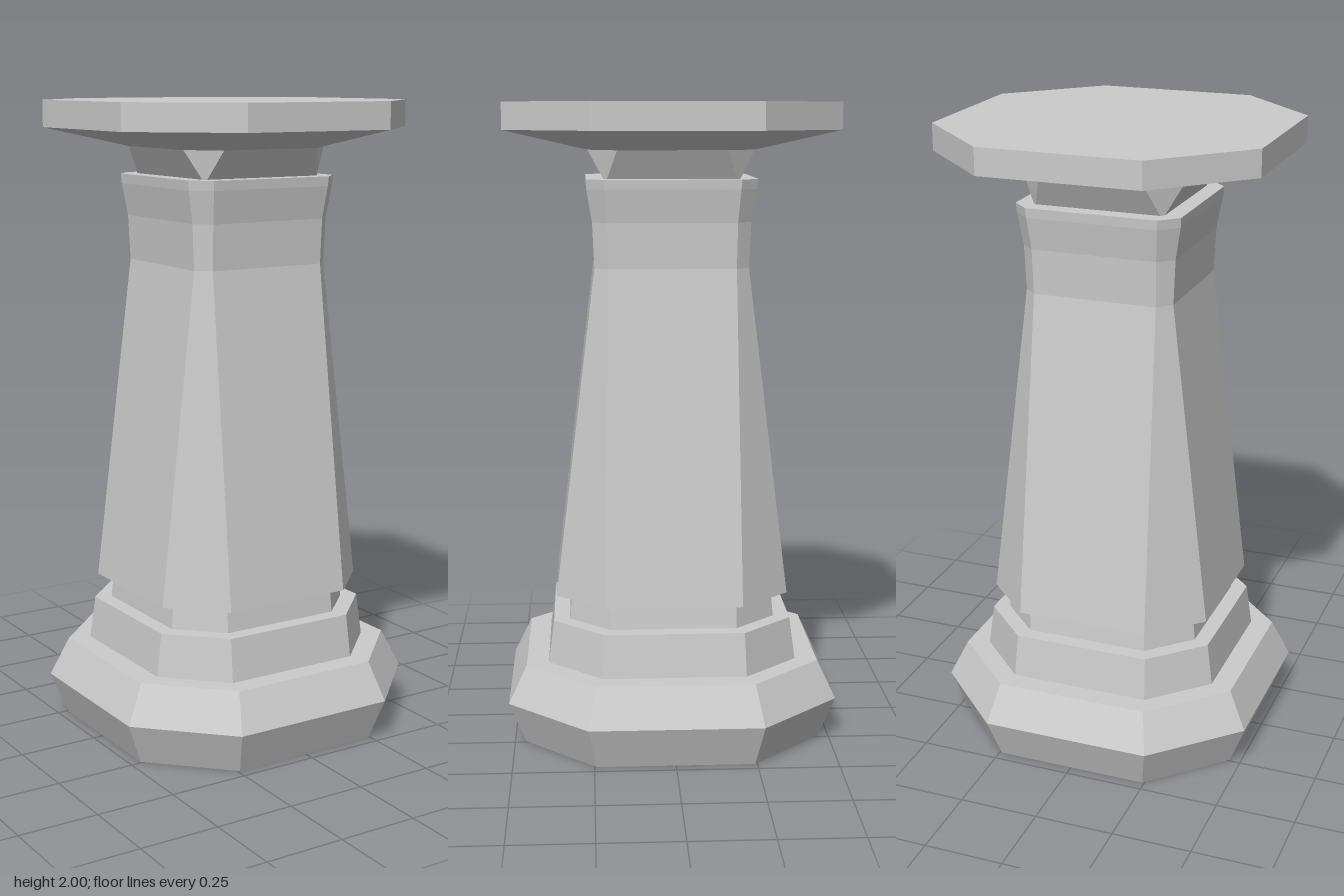
import * as THREE from 'three';

const material = new THREE.MeshStandardMaterial({ color: 0xcccccc, flatShading: true });

// Square with cut corners: a = half width, b = half length of the flat side
const octagon = (y, a, b) =>
  [[a, -b], [a, b], [b, a], [-b, a], [-a, b], [-a, -b], [-b, -a], [b, -a]]
    .map(([x, z]) => [x, y, z]);

// Closed solid lofted through octagonal sections [y, a, b], listed bottom to top
function loft(name, sections) {
  const rings = sections.map((s) => octagon(...s));
  const pos = [];
  const tri = (...points) => points.forEach((p) => pos.push(...p));
  const bottom = rings[0];
  const top = rings[rings.length - 1];
  const bottomCentre = [0, bottom[0][1], 0];
  const topCentre = [0, top[0][1], 0];
  for (let i = 0; i < 8; i++) {
    const j = (i + 1) % 8;
    for (let k = 0; k < rings.length - 1; k++) {
      const lo = rings[k];
      const hi = rings[k + 1];
      tri(lo[i], hi[i], hi[j]);
      tri(lo[i], hi[j], lo[j]);
    }
    tri(bottomCentre, bottom[i], bottom[j]);
    tri(topCentre, top[j], top[i]);
  }
  const geometry = new THREE.BufferGeometry();
  geometry.setAttribute('position', new THREE.Float32BufferAttribute(pos, 3));
  geometry.computeVertexNormals();
  const mesh = new THREE.Mesh(geometry, material);
  mesh.name = name;
  return mesh;
}

export function createModel() {
  const group = new THREE.Group();
  group.name = 'pedestal';
  group.add(
    // Wide foot, bulging at mid height
    loft('foot', [[0, 0.465, 0.243], [0.135, 0.517, 0.268], [0.255, 0.46, 0.243]]),
    // Stepped plinth and recessed collar under the shaft
    loft('plinth', [[0.255, 0.391, 0.222], [0.39, 0.373, 0.217]]),
    loft('lowerCollar', [[0.39, 0.323, 0.196], [0.47, 0.315, 0.194]]),
    // Tapering shaft that flares out again at its head
    loft('shaft', [
      [0.47, 0.364, 0.211],
      [1.5, 0.237, 0.196],
      [1.64, 0.243, 0.198],
      [1.74, 0.26, 0.206],
      [1.77, 0.262, 0.208],
    ]),
    // Flared neck and the top slab with its sloped underside
    loft('neck', [[1.77, 0.208, 0.197], [1.857, 0.255, 0.167]]),
    loft('topSlab', [[1.857, 0.255, 0.167], [1.917, 0.51, 0.25], [2, 0.51, 0.25]]),
  );
  return group;
}
